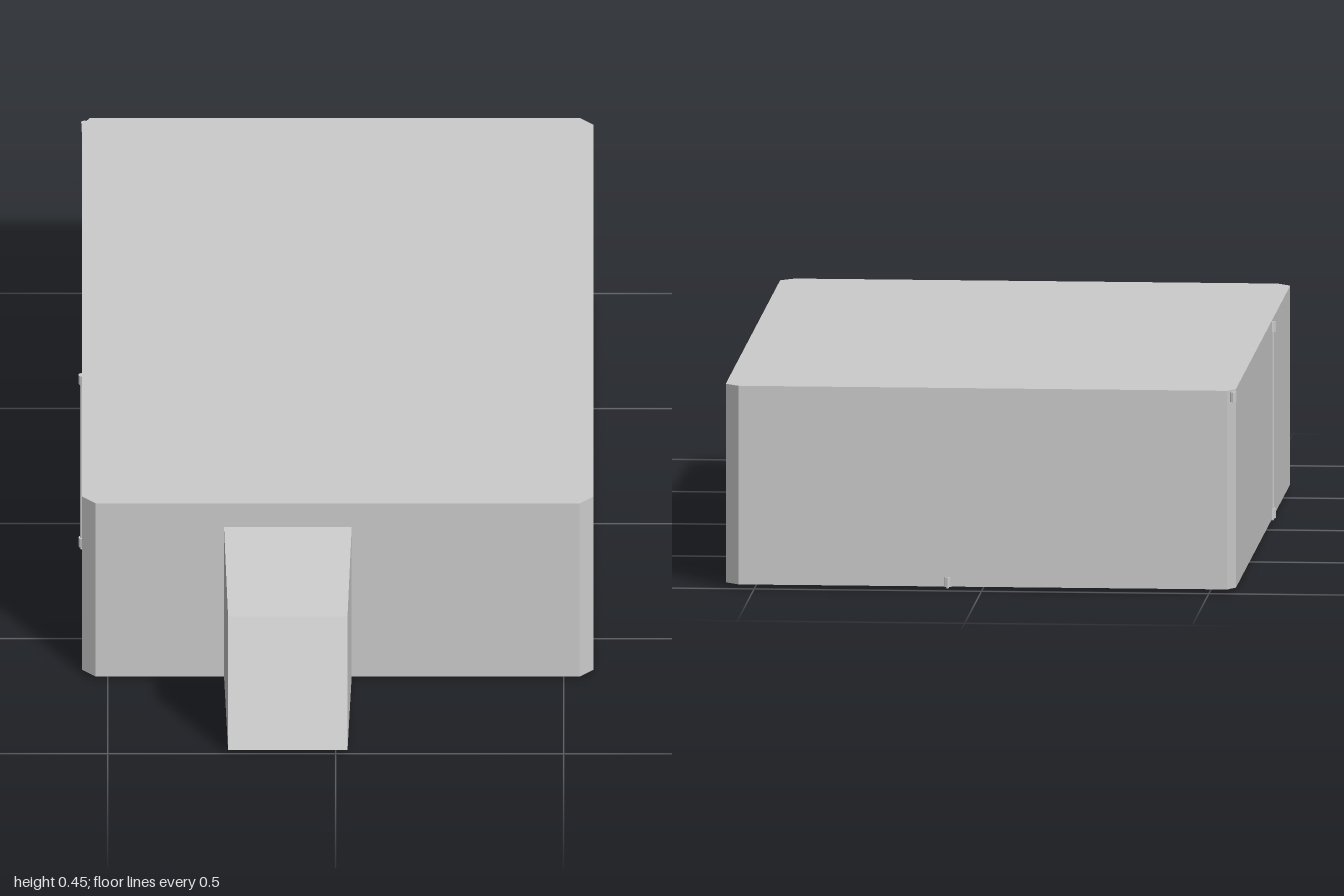
import * as THREE from 'three';

const mat = new THREE.MeshStandardMaterial({ color: 0xcccccc, side: THREE.DoubleSide, flatShading: true });
const FLOOR = 0.01, TOP = 0.45;

function add(group, name, geometry) {
  const mesh = new THREE.Mesh(geometry, mat);
  mesh.name = name;
  group.add(mesh);
  return mesh;
}

// Surface made of four-cornered panels, each counter-clockwise from outside
function panels(quads) {
  const pos = [];
  for (const [a, b, c, d] of quads) pos.push(...a, ...b, ...c, ...a, ...c, ...d);
  const g = new THREE.BufferGeometry();
  g.setAttribute('position', new THREE.Float32BufferAttribute(pos, 3));
  g.computeVertexNormals();
  return g;
}

// Thin round cable between two points
function cable(group, name, a, b, r = 0.003) {
  const p = new THREE.Vector3(...a), q = new THREE.Vector3(...b);
  const m = add(group, name, new THREE.CylinderGeometry(r, r, p.distanceTo(q), 8));
  m.position.copy(p).add(q).multiplyScalar(0.5);
  m.quaternion.setFromUnitVectors(new THREE.Vector3(0, 1, 0), q.sub(p).normalize());
}

export function createModel() {
  const model = new THREE.Group();

  // Plan outline with cut corners, starting at the front left wall edge
  const plan = [
    [-0.527, 0.68], [0.535, 0.68], [0.565, 0.65], [0.565, -0.965],
    [0.535, -0.995], [-0.54, -0.995], [-0.557, -0.965], [-0.557, 0.65],
  ];

  // Side, back and corner walls
  const walls = [];
  for (let i = 1; i < plan.length; i++) {
    const [x0, z0] = plan[i], [x1, z1] = plan[(i + 1) % plan.length];
    walls.push([[x0, FLOOR, z0], [x1, FLOOR, z1], [x1, TOP, z1], [x0, TOP, z0]]);
  }
  add(model, 'outerWalls', panels(walls));

  // Front wall with the doorway cut out of it
  const front = new THREE.Shape([
    [-0.527, FLOOR], [-0.245, FLOOR], [-0.245, 0.39], [0.035, 0.39],
    [0.035, FLOOR], [0.535, FLOOR], [0.535, TOP], [-0.527, TOP],
  ].map(p => new THREE.Vector2(...p)));
  add(model, 'frontWall', new THREE.ShapeGeometry(front)).position.z = 0.68;

  // Flat roof and floor
  const outline = new THREE.Shape(plan.map(([x, z]) => new THREE.Vector2(x, -z)));
  for (const [name, y, turn] of [['roof', TOP, -1], ['floor', FLOOR, -1]]) {
    const m = add(model, name, new THREE.ShapeGeometry(outline));
    m.rotation.x = turn * Math.PI / 2;
    m.position.y = y;
  }

  // Tapered entrance passage, open at both ends
  const ring = (x0, x1, top, z) => [[x0, FLOOR, z], [x1, FLOOR, z], [x1, top, z], [x0, top, z]];
  const near = ring(-0.236, 0.026, 0.35, 1), far = ring(-0.245, 0.035, 0.39, 0.68);
  add(model, 'entrancePassage', panels(near.map((p, i) => {
    const j = (i + 1) % 4;
    return [p, far[i], far[j], near[j]];
  })));

  // Cables along the underside and up the outer wall
  const cables = new THREE.Group();
  cables.name = 'cables';
  model.add(cables);
  cable(cables, 'crossCable', [-0.56, 0.008, 0.12], [0.075, 0.008, 0.12]);
  cable(cables, 'middleCable', [0.075, 0.008, 0.12], [0.075, 0.008, -0.36]);
  cable(cables, 'backCable', [0.075, 0.008, -0.58], [0.075, 0.008, -0.994]);
  cable(cables, 'wallCable', [-0.558, 0.01, 0.115], [-0.558, 0.44, 0.115]);
  cable(cables, 'innerCable', [-0.225, FLOOR, 0.12], [-0.225, TOP, 0.12], 0.008);
  cable(cables, 'innerCableFoot', [-0.222, FLOOR, 0.12], [-0.222, 0.04, 0.12], 0.012);

  // Small fixing clips at the cable ends and bends
  const clips = [
    [-0.557, 0.022, 0.115, 1], [-0.557, 0.435, 0.115, 1], [-0.552, 0.435, -0.982, 1],
    [0.075, 0.02, -0.992, 1], [0.075, 0.006, -0.58, 0], [0.075, 0.008, -0.36, 0],
    [0.075, 0.008, 0.12, 0], [-0.23, 0.008, 0.12, 0],
  ];
  for (const [x, y, z, upright] of clips) {
    const h = upright ? 0.022 : 0.01, w = upright ? 0.008 : 0.014;
    add(cables, 'clip', new THREE.CylinderGeometry(w, w, h, 8)).position.set(x, Math.max(y, h / 2), z);
  }
  return model;
}
